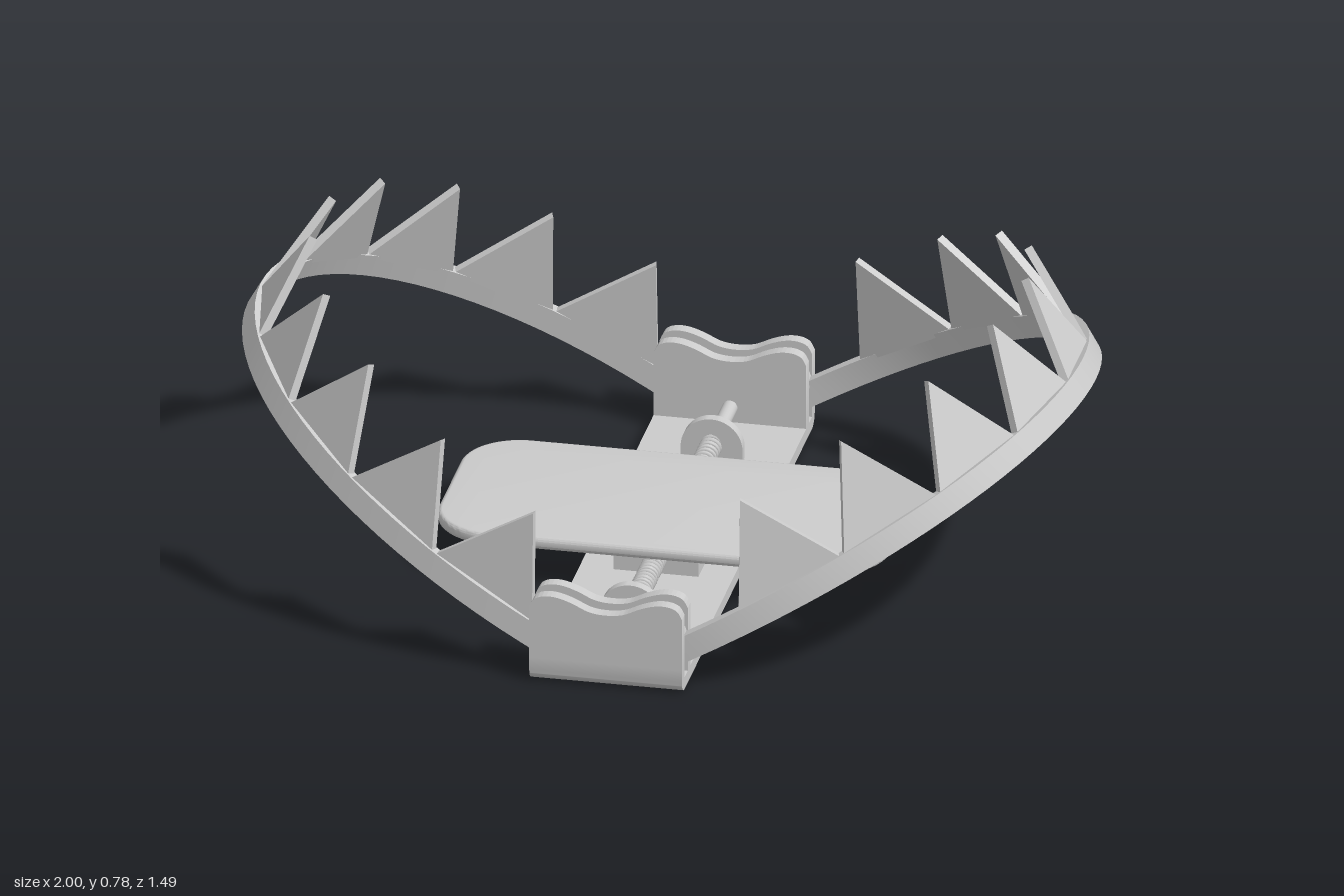
import * as THREE from 'three';
import { toCreasedNormals } from 'three/addons/utils/BufferGeometryUtils.js';

const material = new THREE.MeshStandardMaterial({ color: 0xcccccc });

function add(parent, name, geometry, x = 0, y = 0, z = 0) {
  const mesh = new THREE.Mesh(geometry, material);
  mesh.name = name;
  mesh.position.set(x, y, z);
  parent.add(mesh);
  return mesh;
}

function extrude(shape, depth, options = {}) {
  const g = new THREE.ExtrudeGeometry(shape, { depth, bevelEnabled: false, curveSegments: 12, ...options });
  return toCreasedNormals(g, 0.6);
}

const rod = (radius, length, sides = 20) =>
  new THREE.CylinderGeometry(radius, radius, length, sides).rotateX(Math.PI / 2);

// Jaw: half-ellipse band with a row of triangular teeth, tilted 30 degrees
const A = 0.903, B = 0.7, BAND = 0.06, HALF = 0.015, STUB = 0.045;
const onEllipse = (deg, off = 0) => {
  const t = THREE.MathUtils.degToRad(deg);
  return new THREE.Vector2((A + off) * Math.cos(t), (B + off) * Math.sin(t));
};

function makeJaw(toothAngles) {
  const jaw = new THREE.Group();
  const outer = [], inner = [];
  for (let i = 0; i <= 48; i++) {
    const deg = -90 + (i * 180) / 48;
    outer.push(onEllipse(deg, HALF));
    inner.push(onEllipse(deg, -HALF));
  }
  const stub = (side, off) => new THREE.Vector2(-STUB, side * (B + off));
  const outline = [stub(-1, HALF), ...outer, stub(1, HALF), stub(1, -HALF), ...inner.reverse(), stub(-1, -HALF)];
  add(jaw, 'jawBand', extrude(new THREE.Shape(outline), BAND));

  for (const deg of toothAngles) {
    const p = onEllipse(deg - 9), q = onEllipse(deg + 9);
    const w = p.distanceTo(q) / 2;
    const triangle = new THREE.Shape([
      new THREE.Vector2(-w, -0.01), new THREE.Vector2(w, -0.01), new THREE.Vector2(0, 0.23)]);
    const g = extrude(triangle, 0.02).translate(0, 0, -0.01).rotateX(Math.PI / 2);
    g.rotateZ(Math.atan2(q.y - p.y, q.x - p.x));
    add(jaw, 'tooth', g, (p.x + q.x) / 2, (p.y + q.y) / 2, BAND);
  }

  // Local x runs outward along the slope, local z is the jaw's normal
  const c = Math.cos(Math.PI / 6), s = 0.5;
  jaw.setRotationFromMatrix(new THREE.Matrix4().makeBasis(
    new THREE.Vector3(c, s, 0), new THREE.Vector3(0, 0, -1), new THREE.Vector3(-s, c, 0)));
  jaw.position.set(0.205, 0.081, 0);

  // Hinge eyes and pins between the end plates
  const side = new THREE.Group();
  side.add(jaw);
  for (const z of [-1, 1]) {
    add(side, 'hingeEye', rod(0.055, 0.032, 28), 0.125, 0.12, z * 0.698);
    add(side, 'hingePin', rod(0.025, 0.08), 0.125, 0.12, z * 0.695);
  }
  return side;
}

// Upright plate with a double-humped top
function endPlate(bottom) {
  const half = [[0.18, 0.19], [0.168, 0.21], [0.145, 0.219], [0.115, 0.218], [0.08, 0.207], [0.04, 0.189]];
  const top = [...half, [0, 0.184], ...half.map(([x, y]) => [-x, y]).reverse()];
  const shape = new THREE.Shape();
  shape.moveTo(-0.18, bottom);
  shape.lineTo(0.18, bottom);
  shape.lineTo(0.18, 0.19);
  shape.splineThru(top.slice(1).map(([x, y]) => new THREE.Vector2(x, y)));
  shape.lineTo(-0.18, bottom);
  return extrude(shape, 0.03, { curveSegments: 36 }).translate(0, 0, -0.015);
}

class Helix extends THREE.Curve {
  constructor(radius, length, turns) {
    super();
    Object.assign(this, { radius, length, turns });
  }
  getPoint(t, target = new THREE.Vector3()) {
    const a = t * this.turns * Math.PI * 2;
    return target.set(this.radius * Math.cos(a), this.radius * Math.sin(a), t * this.length);
  }
}

export function createModel() {
  const model = new THREE.Group();
  model.name = 'jawTrap';

  // Base strip with rounded bends at both ends
  const L = 0.745, T = 0.03, R = 0.03, H = 0.06;
  const profile = new THREE.Shape();
  profile.moveTo(-L, H);
  profile.lineTo(-L, R);
  profile.absarc(-L + R, R, R, Math.PI, Math.PI * 1.5, false);
  profile.lineTo(L - R, 0);
  profile.absarc(L - R, R, R, -Math.PI / 2, 0, false);
  profile.lineTo(L, H);
  profile.lineTo(L - T, H);
  profile.lineTo(L - T, T);
  profile.lineTo(-L + T, T);
  profile.lineTo(-L + T, H);
  add(model, 'baseStrip', extrude(profile, 0.36).translate(0, 0, -0.18).rotateY(Math.PI / 2));

  // Left jaw has nine teeth, right jaw ten, so that they interlock
  const leftJaw = makeJaw(Array.from({ length: 9 }, (_, i) => -72 + 18 * i));
  leftJaw.name = 'leftJaw';
  const rightJaw = makeJaw(Array.from({ length: 10 }, (_, i) => -81 + 18 * i));
  rightJaw.name = 'rightJaw';
  rightJaw.rotation.y = Math.PI;
  model.add(leftJaw, rightJaw);

  // Pressure pan on its block
  const w = 0.522, d = 0.25, r = 0.13;
  const pan = new THREE.Shape();
  pan.absarc(w - r, d - r, r, 0, Math.PI / 2, false);
  pan.absarc(-w + r, d - r, r, Math.PI / 2, Math.PI, false);
  pan.absarc(-w + r, -d + r, r, Math.PI, Math.PI * 1.5, false);
  pan.absarc(w - r, -d + r, r, Math.PI * 1.5, Math.PI * 2, false);
  const panGeometry = extrude(pan, 0.012, {
    bevelEnabled: true, bevelThickness: 0.009, bevelSize: 0.009, bevelSegments: 3,
  }).rotateX(-Math.PI / 2);
  add(model, 'pan', panGeometry, 0.008, 0.109, 0);
  add(model, 'panBlock', new THREE.BoxGeometry(0.2, 0.075, 0.33), 0, 0.066, 0.015);

  // Round-topped tab that stops each spring
  const tab = new THREE.Shape();
  tab.moveTo(-0.073, 0.02);
  tab.lineTo(0.073, 0.02);
  tab.absarc(0, 0.059, 0.073, 0, Math.PI, false);
  tab.lineTo(-0.073, 0.02);

  for (const side of [-1, 1]) {
    add(model, 'outerPlate', endPlate(H), 0, 0, side * 0.73);
    add(model, 'innerPlate', endPlate(0.025), 0, 0, side * 0.664);
    add(model, 'springRod', rod(0.018, 0.54), 0, 0.067, side * 0.39);
    add(model, 'springStop', extrude(tab, 0.025).translate(0, 0, -0.0125), 0, 0, side * 0.456);
    const start = side > 0 ? 0.175 : -0.45, length = side > 0 ? 0.275 : 0.31;
    add(model, 'spring', new THREE.TubeGeometry(new Helix(0.021, length, 17), 272, 0.006, 6), 0, 0.067, start);
  }
  return model;
}
